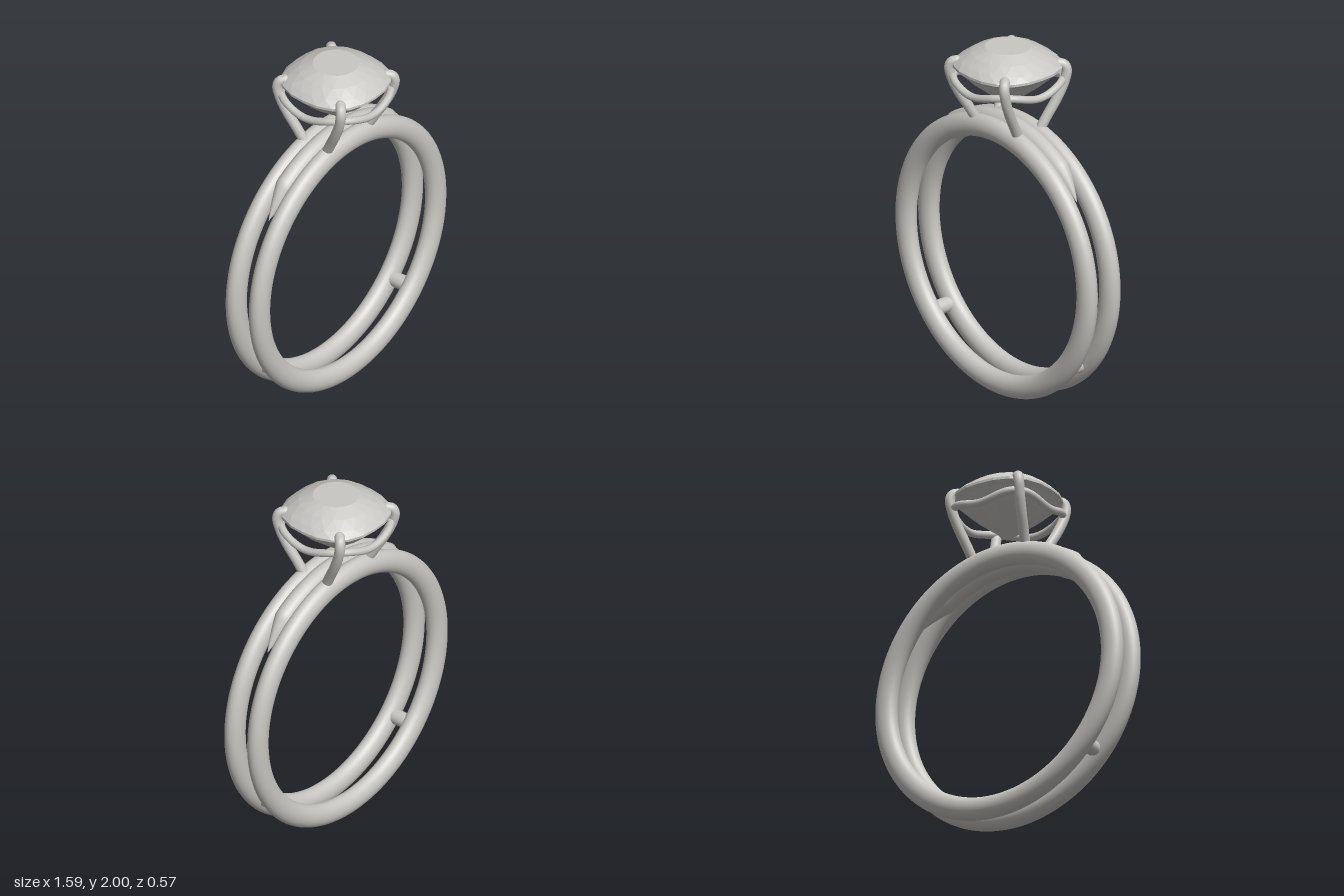
import * as THREE from 'three';

const CY = 0.797; // height of the band centre
const metal = new THREE.MeshStandardMaterial({ color: 0xc8c6c2 });
metal.name = 'silver';
const stone = new THREE.MeshStandardMaterial({ color: 0xc8c7c4 });
stone.name = 'pale stone';

function add(parent, name, geometry, material = metal) {
  const mesh = new THREE.Mesh(geometry, material);
  mesh.name = name;
  parent.add(mesh);
  return mesh;
}

// Rounded-square outline: p = 2 is a circle, larger p is squarer
function outline(r, a, p) {
  const s = Math.sin(a), c = Math.cos(a);
  const k = r / Math.pow(Math.abs(s) ** p + Math.abs(c) ** p, 1 / p);
  return [s * k, c * k];
}

// Curved filler between the two bands, tapering to a point at both ends
function bridgeGeometry() {
  const rows = 72, sides = 24, pos = [], index = [];
  const end = 0.872, shoulder = 0.6;
  for (let i = 0; i <= rows; i++) {
    const t = -end + (2 * end * i) / rows;
    const s = Math.max(0.001, Math.min(1, (end - Math.abs(t)) / (end - shoulder)));
    for (let j = 0; j < sides; j++) {
      const b = (j / sides) * Math.PI * 2;
      const r = 0.731 + 0.078 * s * Math.cos(b);
      pos.push(r * Math.sin(t), CY + r * Math.cos(t), 0.06 * s * Math.sin(b));
      if (i < rows) {
        const a = i * sides + j, n = i * sides + ((j + 1) % sides);
        index.push(a, n, a + sides, n, n + sides, a + sides);
      }
    }
  }
  const g = new THREE.BufferGeometry();
  g.setAttribute('position', new THREE.Float32BufferAttribute(pos, 3));
  g.setIndex(index);
  g.computeVertexNormals();
  return g;
}

// Faceted cushion stone from staggered rings: [radius, y, half-step, squareness]
function gemGeometry() {
  const rings = [
    [0.002, 1.655, 0, 2], [0.105, 1.735, 0.5, 2], [0.19, 1.802, 0, 2.2],
    [0.257, 1.868, 0.5, 2.4], [0.277, 1.886, 0, 2.5], [0.277, 1.9, 0, 2.5],
    [0.248, 1.929, 0.5, 2.4], [0.195, 1.967, 0, 2.2], [0.125, 2, 0.5, 2],
  ];
  const n = 20, pos = [], index = [];
  rings.forEach(([r, y, off, p], i) => {
    for (let k = 0; k < n; k++) {
      const [x, z] = outline(r, ((k + off) / n) * Math.PI * 2, p);
      pos.push(x, y, z);
      if (i === rings.length - 1) continue;
      const l = i * n + k, l1 = i * n + ((k + 1) % n), u = l + n, u1 = l1 + n;
      if (off > rings[i + 1][2]) index.push(l, l1, u1, l, u1, u);
      else index.push(l, l1, u, l1, u1, u);
    }
  });
  // Flat table on top
  const top = (rings.length - 1) * n, centre = rings.length * n;
  pos.push(0, 2, 0);
  for (let k = 0; k < n; k++) index.push(top + k, top + ((k + 1) % n), centre);
  const g = new THREE.BufferGeometry();
  g.setAttribute('position', new THREE.Float32BufferAttribute(pos, 3));
  g.setIndex(index);
  const flat = g.toNonIndexed();
  flat.computeVertexNormals();
  return flat;
}

export function createModel() {
  const ring = new THREE.Group();
  ring.name = 'ring';

  // Twin bands
  for (const side of [1, -1]) {
    const band = add(ring, side > 0 ? 'frontBand' : 'backBand',
      new THREE.TorusGeometry(0.7315, 0.0645, 28, 128));
    band.position.set(0, CY, side * 0.081);
    band.scale.z = 0.8;
  }
  add(ring, 'bridge', bridgeGeometry());

  // Small cross bars joining the bands low down
  for (const side of [1, -1]) {
    const bar = add(ring, side > 0 ? 'leftCrossBar' : 'rightCrossBar',
      new THREE.CylinderGeometry(0.042, 0.042, 0.14, 24));
    bar.rotation.x = Math.PI / 2;
    bar.position.set(side * 0.532, 0.302, 0);
  }

  // Setting: four prongs curling over the stone
  const setting = new THREE.Group();
  setting.name = 'setting';
  ring.add(setting);
  for (const sx of [1, -1]) for (const sz of [1, -1]) {
    const prong = new THREE.Group();
    prong.name = (sz > 0 ? 'front' : 'back') + (sx > 0 ? 'Left' : 'Right') + 'Prong';
    setting.add(prong);
    const points = [
      [0.168, 1.54, 0.075], [0.183, 1.62, 0.118], [0.203, 1.71, 0.168],
      [0.218, 1.8, 0.207], [0.223, 1.87, 0.222], [0.213, 1.9, 0.213], [0.194, 1.908, 0.194],
    ].map(([x, y, z]) => new THREE.Vector3(sx * x, y, sz * z));
    add(prong, 'prongStem',
      new THREE.TubeGeometry(new THREE.CatmullRomCurve3(points), 40, 0.028, 16));
    for (const p of [points[0], points[points.length - 1]])
      add(prong, 'prongEnd', new THREE.SphereGeometry(0.028, 16, 12)).position.copy(p);
  }

  // Wavy wire gallery, rising at the prongs and dipping between them
  const loop = [];
  for (let i = 0; i < 32; i++) {
    const a = (i / 32) * Math.PI * 2;
    const [x, z] = outline(0.262, a, 3);
    loop.push(new THREE.Vector3(x, 1.8 - 0.02 * Math.cos(4 * a), z));
  }
  add(setting, 'galleryWire',
    new THREE.TubeGeometry(new THREE.CatmullRomCurve3(loop, true), 128, 0.021, 14, true));

  add(ring, 'stone', gemGeometry(), stone);
  return ring;
}
